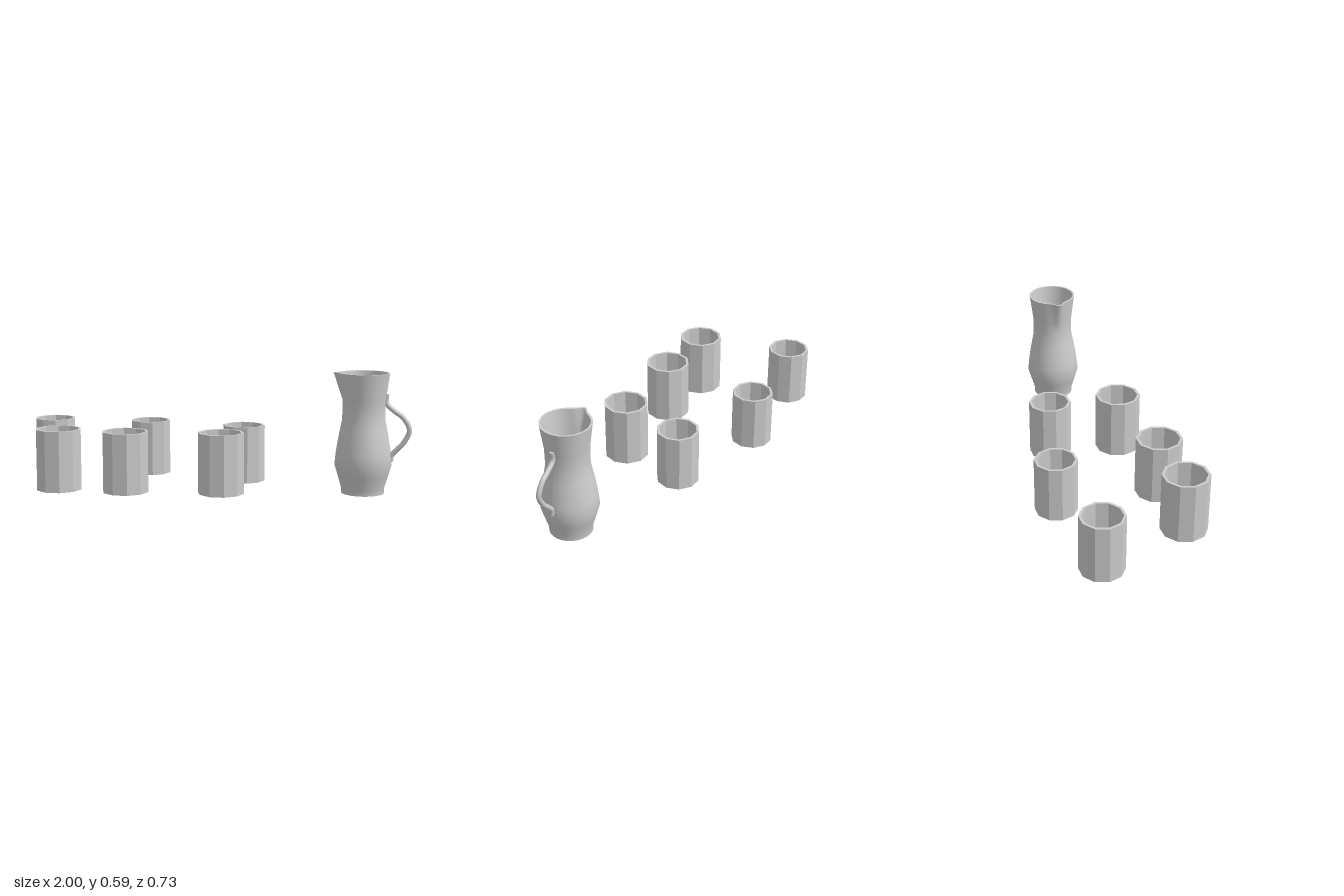
import * as THREE from 'three';

const smooth = new THREE.MeshStandardMaterial({ color: 0xcccccc });
const faceted = new THREE.MeshStandardMaterial({ color: 0xcccccc, flatShading: true });
const vec2 = (points) => points.map(([x, y]) => new THREE.Vector2(x, y));

function addMesh(parent, name, geometry, material) {
  const mesh = new THREE.Mesh(geometry, material);
  mesh.name = name;
  parent.add(mesh);
  return mesh;
}

// Ten-sided hollow tumbler with a corner on the x axis
function cupGeometry(radius, height) {
  const inner = radius * 0.88, floor = 0.02;
  const profile = vec2([
    [0, 0], [radius, 0], [radius, height], [inner, height], [inner, floor], [0, floor],
  ]);
  return new THREE.LatheGeometry(profile, 10, Math.PI / 2);
}

// Pull the jug's neck out into a narrow pouring lip towards -x
function pullSpout(geometry) {
  const pos = geometry.attributes.position;
  for (let i = 0; i < pos.count; i++) {
    const x = pos.getX(i), y = pos.getY(i), z = pos.getZ(i);
    const rise = Math.max(0, (y - 0.46) / 0.13);
    const angle = Math.atan2(z, -x);
    pos.setX(i, x - 0.028 * rise * Math.exp(-((angle / 0.22) ** 2)));
  }
  geometry.computeVertexNormals();
  return geometry;
}

function createJug() {
  const jug = new THREE.Group();
  jug.name = 'jug';
  const lathe = (points) => pullSpout(new THREE.LatheGeometry(vec2(points), 64, Math.PI / 2));

  const wall = 0.01;
  const outer = [
    [0.105, 0], [0.105, 0.025], [0.123, 0.085], [0.139, 0.14], [0.134, 0.195],
    [0.126, 0.25], [0.115, 0.31], [0.105, 0.36], [0.104, 0.41], [0.105, 0.46], [0.122, 0.59],
  ];
  const inner = outer.slice(1).reverse().map(([r, y]) => [r - wall, y]);

  addMesh(jug, 'jugBody', lathe(outer), smooth);
  addMesh(jug, 'jugRim', lathe([[0.122, 0.59], [0.122 - wall, 0.59]]), smooth);
  addMesh(jug, 'jugInside', lathe(inner), smooth);
  addMesh(jug, 'jugBase', lathe([[0, 0], [0.105, 0]]), smooth);
  addMesh(jug, 'jugFloor', lathe([[0.095, 0.025], [0, 0.025]]), smooth);

  // Handle springing from the neck and meeting the belly
  const path = new THREE.CatmullRomCurve3([
    [0.108, 0.488], [0.108, 0.445], [0.148, 0.406], [0.19, 0.375], [0.221, 0.315],
    [0.196, 0.255], [0.152, 0.207], [0.136, 0.185], [0.134, 0.158],
  ].map(([x, y]) => new THREE.Vector3(x, y, 0)));
  const thickness = 0.0125;
  addMesh(jug, 'handle', new THREE.TubeGeometry(path, 48, thickness, 12), smooth);

  // Flat caps closing both handle ends
  for (const t of [0, 1]) {
    const cap = addMesh(jug, 'handleEnd', new THREE.CircleGeometry(thickness, 12), smooth);
    const outward = path.getTangent(t).multiplyScalar(t ? 1 : -1);
    cap.position.copy(path.getPoint(t));
    cap.quaternion.setFromUnitVectors(new THREE.Vector3(0, 0, 1), outward);
  }
  return jug;
}

export function createModel() {
  const model = new THREE.Group();
  model.name = 'jugAndCups';

  // Cups: x, z, radius, height
  const cups = [
    [-0.892, -0.209, 0.108, 0.287],
    [-0.381, -0.267, 0.105, 0.281],
    [0.144, -0.138, 0.107, 0.288],
    [-0.724, 0.257, 0.115, 0.303],
    [-0.383, 0.257, 0.115, 0.3],
    [0.086, 0.21, 0.114, 0.3],
  ];
  for (const [x, z, radius, height] of cups) {
    addMesh(model, 'cup', cupGeometry(radius, height), faceted).position.set(x, 0, z);
  }

  const jug = createJug();
  jug.position.set(0.766, 0, 0.065);
  model.add(jug);
  return model;
}
